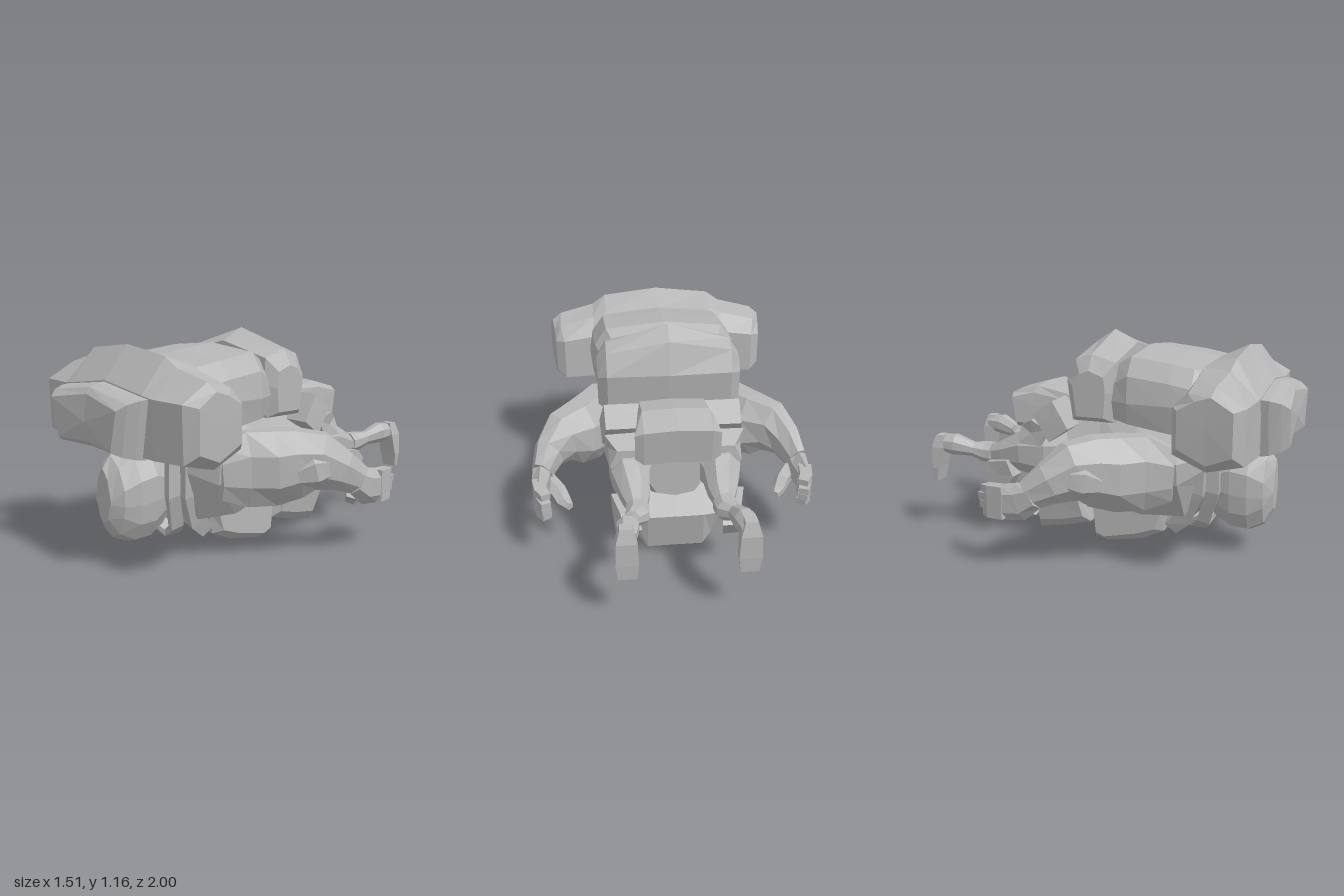
import * as THREE from 'three';

const grey = new THREE.MeshStandardMaterial({ color: 0xb6b6b6, flatShading: true });
grey.name = 'plain grey';

// Closed solid through rings of equal point count; winding is fixed by signed volume.
function loft(name, rings) {
  const n = rings[0].length, tris = [];
  const centre = r => [0, 1, 2].map(k => r.reduce((s, p) => s + p[k], 0) / n);
  const first = rings[0], last = rings[rings.length - 1];
  for (let j = 0; j < n; j++) {
    const k = (j + 1) % n;
    for (let i = 0; i < rings.length - 1; i++) {
      const a = rings[i], b = rings[i + 1];
      tris.push([a[j], a[k], b[k]], [a[j], b[k], b[j]]);
    }
    tris.push([centre(first), first[k], first[j]], [centre(last), last[j], last[k]]);
  }
  let volume = 0;
  for (const [a, b, c] of tris) {
    volume += a[0] * (b[1] * c[2] - b[2] * c[1]) - a[1] * (b[0] * c[2] - b[2] * c[0])
      + a[2] * (b[0] * c[1] - b[1] * c[0]);
  }
  if (volume < 0) tris.forEach(t => t.reverse());
  const g = new THREE.BufferGeometry();
  g.setAttribute('position', new THREE.Float32BufferAttribute(tris.flat(2), 3));
  g.computeVertexNormals();
  const mesh = new THREE.Mesh(g, grey);
  mesh.name = name;
  return mesh;
}

// Solid running across x, from half stations [x, [[z, y, x shift], ...]] mirrored about x = 0.
function crossBar(name, stations) {
  const ring = (x, pts, s) => pts.map(([z, y, dx = 0]) => [s * (x + dx), y, z]);
  const left = stations.map(([x, p]) => ring(x, p, 1));
  const right = stations.filter(s => s[0] > 0).map(([x, p]) => ring(x, p, -1)).reverse();
  return loft(name, [...right, ...left]);
}

// Solid running along z, from [z, [[x, y, z shift], ...]] with the half outline going top to bottom.
function lengthwise(name, stations) {
  return loft(name, stations.map(([z, half]) => [
    ...half.map(([x, y, dz = 0]) => [x, y, z + dz]),
    ...half.filter(p => p[0] > 0).reverse().map(([x, y, dz = 0]) => [-x, y, z + dz]),
  ]));
}

// Tapered limb through [x, y, z, half width, half height].
function limb(name, path, sides = 8, ref = new THREE.Vector3(0, 1, 0)) {
  const pts = path.map(p => new THREE.Vector3(p[0], p[1], p[2]));
  return loft(name, path.map((p, i) => {
    const dir = pts[Math.min(i + 1, pts.length - 1)].clone().sub(pts[Math.max(i - 1, 0)]).normalize();
    const across = ref.clone().cross(dir).normalize();
    const up = dir.clone().cross(across);
    return Array.from({ length: sides }, (_, j) => {
      const a = (j + 0.5) / sides * Math.PI * 2;
      const stretch = sides === 4 ? Math.SQRT2 : 1.04;
      return pts[i].clone().addScaledVector(across, Math.cos(a) * p[3] * stretch)
        .addScaledVector(up, Math.sin(a) * p[4] * stretch).toArray();
    });
  }));
}

// Arm, hand, leg and side gear of one side, s = 1 for left, -1 for right.
function addSide(group, s) {
  const side = s > 0 ? 'left' : 'right';
  const add = (part, path, sides, ref) => group.add(limb(side + part, path.map(([x, ...r]) => [x * s, ...r]), sides, ref));

  add('Arm', [
    [0.34, 0.48, 0.44, 0.05, 0.14], [0.37, 0.49, 0.3, 0.1, 0.2], [0.43, 0.49, 0.16, 0.15, 0.2],
    [0.51, 0.51, 0.05, 0.145, 0.18], [0.595, 0.52, -0.02, 0.11, 0.15],
    [0.66, 0.47, -0.1, 0.08, 0.11], [0.7, 0.41, -0.2, 0.053, 0.08],
  ]);
  add('Elbow', [[0.57, 0.46, 0.14, 0.04, 0.05], [0.63, 0.49, 0.06, 0.06, 0.09], [0.66, 0.5, 0, 0.04, 0.07]], 6);
  add('Palm', [[0.7, 0.41, -0.17, 0.055, 0.07], [0.705, 0.37, -0.25, 0.05, 0.095], [0.71, 0.36, -0.34, 0.038, 0.09]], 6);
  for (let i = 0; i < 4; i++) {
    const y = 0.3 + i * 0.042, end = [-0.45, -0.47, -0.48, -0.46][i];
    add('Finger' + (i + 1), [
      [0.715, y, -0.32, 0.034, 0.021], [0.7, y - 0.005, -0.41, 0.032, 0.021], [0.672, y - 0.01, end, 0.026, 0.018],
    ], 4);
  }
  add('Thumb', [
    [0.68, 0.35, -0.19, 0.05, 0.05], [0.62, 0.31, -0.24, 0.045, 0.04],
    [0.59, 0.27, -0.28, 0.04, 0.032], [0.56, 0.265, -0.33, 0.022, 0.022],
  ], 5);

  add('Leg', [
    [0.17, 0.5, -0.15, 0.13, 0.16], [0.22, 0.5, -0.32, 0.13, 0.15], [0.235, 0.5, -0.45, 0.1, 0.12],
    [0.22, 0.47, -0.58, 0.075, 0.08], [0.215, 0.46, -0.66, 0.05, 0.05], [0.215, 0.46, -0.67, 0.06, 0.06],
    [0.22, 0.465, -0.73, 0.06, 0.055], [0.25, 0.48, -0.78, 0.04, 0.04],
    [0.275, 0.505, -0.88, 0.055, 0.06], [0.285, 0.51, -0.97, 0.045, 0.045],
  ]);
  // Foot hanging with the toes down
  const foot = (y, w, z0, z1) => [[0.288 - w, y, z0], [0.288 + w, y, z0], [0.288 + w, y, z1], [0.288 - w, y, z1]]
    .map(([x, ...r]) => [x * s, ...r]);
  group.add(loft(side + 'Foot', [foot(0.56, 0.03, -0.93, -0.98), foot(0.49, 0.05, -0.93, -1),
    foot(0.37, 0.055, -0.96, -1), foot(0.29, 0.045, -0.975, -0.995)]));

  // Plates and pouches from a side outline [z, y, x shift] between two x values
  const plate = (part, x0, x1, outline, taper = 1) => {
    const cz = outline.reduce((t, p) => t + p[0], 0) / outline.length;
    const cy = outline.reduce((t, p) => t + p[1], 0) / outline.length;
    group.add(loft(side + part, [[x0, 1], [x1, taper]].map(([x, k]) => outline.map(
      ([z, y, dx = 0]) => [(x + dx) * s, cy + (y - cy) * k, cz + (z - cz) * k]))));
  };
  plate('CalfPlate', 0.25, 0.34, [[-0.48, 0.37], [-0.58, 0.21, -0.02], [-0.73, 0.37, -0.05], [-0.67, 0.43, -0.04], [-0.52, 0.46]], 0.97);
  plate('HipPlate', 0.18, 0.36, [[-0.26, 0.66], [-0.3, 0.56], [-0.45, 0.56, -0.02], [-0.45, 0.66, -0.06], [-0.35, 0.71]], 0.93);
  plate('WaistPouch', 0.16, 0.335, [[0.12, 0.4], [0.1, 0.25], [-0.07, 0.22], [-0.08, 0.4]], 0.7);
  // Straps running from the collar down to the chest pouch
  add('ChestStrap', [[0.21, 0.55, 0.52, 0.03, 0.05], [0.2, 0.36, 0.51, 0.025, 0.05],
    [0.155, 0.2, 0.44, 0.03, 0.05], [0.13, 0.14, 0.37, 0.04, 0.04]], 4, new THREE.Vector3(0, 0, 1));
}

export function createModel() {
  const group = new THREE.Group();
  group.name = 'flyingFigure';

  // Wide front housing with bevelled, slanted ends
  group.add(crossBar('frontHousing', [
    [0, [[0.86, 0.63], [0.865, 0.95], [0.73, 1.115], [0.57, 1.04], [0.51, 0.9], [0.51, 0.66], [0.68, 0.62]]],
    [0.31, [[0.86, 0.62], [0.865, 0.91], [0.73, 1.08], [0.57, 1.03], [0.5, 0.9], [0.5, 0.65], [0.66, 0.58]]],
    [0.385, [[0.86, 0.62], [0.86, 0.9], [0.72, 1.03], [0.57, 1.0], [0.5, 0.9], [0.5, 0.65], [0.66, 0.58]]],
    [0.58, [[0.845, 0.63, 0.01], [0.85, 0.9, 0.01], [0.7, 0.985], [0.57, 0.95], [0.49, 0.88, -0.02], [0.49, 0.65, -0.02], [0.66, 0.58, -0.01]]],
    [0.65, [[0.8, 0.68], [0.8, 0.885], [0.69, 0.945, -0.02], [0.61, 0.92, -0.03], [0.525, 0.87, -0.04], [0.525, 0.69, -0.04], [0.67, 0.625, -0.025]]],
  ]));

  // Raised plate on the front, wider at the top, bevelled, its face folded in slightly at the middle
  const frontRing = (wt, wb, top, low, fold) => [[0, top, -fold], [wt, top - 0.045], [wb, low], [0, low + 0.01, -fold]];
  group.add(lengthwise('frontPlate', [
    [0.84, frontRing(0.36, 0.3, 0.945, 0.605, 0)], [0.9, frontRing(0.355, 0.3, 0.94, 0.615, 0)],
    [0.955, frontRing(0.33, 0.275, 0.925, 0.63, 0.01)], [0.995, frontRing(0.295, 0.24, 0.895, 0.655, 0.025)],
  ]));

  // Pack body behind the front housing
  const packRing = (w, top, low) => [[0, top], [w * 0.8, top - 0.03], [w * 0.96, top - 0.12],
    [w, 0.84], [w * 0.94, low + 0.03], [w * 0.6, low], [0, low]];
  group.add(lengthwise('packBody', [
    [0.65, packRing(0.34, 1.03, 0.68)], [0.53, packRing(0.41, 1.05, 0.66)], [0.42, packRing(0.41, 1.07, 0.67)],
    [0.2, packRing(0.4, 1.095, 0.7)], [0.12, packRing(0.36, 1.05, 0.71)], [0.05, packRing(0.33, 1.0, 0.72)],
  ]));

  // Ridged housing at the back of the pack
  group.add(crossBar('rearHousing', [
    [0, [[0.12, 0.72], [0.135, 0.92], [0.12, 1.1], [-0.01, 1.165], [-0.11, 1.1], [-0.16, 0.93], [-0.13, 0.72]]],
    [0.33, [[0.11, 0.72], [0.13, 0.88], [0.12, 1.03], [-0.01, 1.07], [-0.1, 1.04], [-0.15, 0.93], [-0.12, 0.72]]],
    [0.38, [[0.07, 0.75], [0.08, 0.88], [0.07, 0.96], [-0.01, 0.99], [-0.06, 0.97], [-0.1, 0.91], [-0.08, 0.75]]],
  ]));

  // Hip belt and seat pack
  const belt = [[-0.13, 0.675], [-0.245, 0.595, -0.01], [-0.345, 0.73, -0.03], [-0.23, 0.815, -0.025]];
  group.add(crossBar('hipBelt', [[0, belt], [0.38, belt]]));
  const seat = [[-0.2, 0.78], [-0.22, 0.83], [-0.4, 0.865], [-0.555, 0.82], [-0.53, 0.63], [-0.34, 0.63]];
  group.add(crossBar('seatPack', [[0, seat], [0.17, seat.map(([z, y]) => [z, y - 0.01])],
    [0.215, [[-0.24, 0.75, -0.035], [-0.26, 0.79, -0.035], [-0.42, 0.82, -0.02], [-0.54, 0.79], [-0.52, 0.65], [-0.36, 0.65, -0.02]]]]));

  // Torso
  const torsoRing = (w, top, low) => [[0, top], [w * 0.75, top], [w, top * 0.75 + low * 0.25],
    [w * 0.95, (top + low) / 2], [w * 0.55, low + 0.02], [0, low]];
  group.add(lengthwise('torso', [
    [0.56, torsoRing(0.24, 0.61, 0.36)], [0.46, torsoRing(0.38, 0.66, 0.2)], [0.22, torsoRing(0.38, 0.7, 0.18)],
    [0, torsoRing(0.3, 0.72, 0.2)], [-0.2, torsoRing(0.28, 0.7, 0.25)], [-0.42, torsoRing(0.18, 0.64, 0.36)],
  ]));

  // Pouches under the chest and belly
  const chest = [[0.35, 0.22], [0.33, 0.1], [0.2, 0.04], [0, 0.005], [-0.07, 0.025], [-0.08, 0.24], [0.25, 0.27]];
  group.add(crossBar('chestPouch', [[0, chest], [0.15, chest],
    [0.2, [[0.32, 0.22], [0.29, 0.12], [0.18, 0.08], [0, 0.04], [-0.05, 0.06], [-0.07, 0.24], [0.22, 0.26]]]]));
  const belly = [[-0.16, 0.33], [-0.1, 0.1], [-0.25, 0.06], [-0.41, 0.03], [-0.46, 0.25], [-0.3, 0.36]];
  group.add(crossBar('bellyPouch', [[0, belly], [0.15, belly],
    [0.2, [[-0.17, 0.33, 0.04], [-0.13, 0.14], [-0.25, 0.11], [-0.39, 0.09], [-0.43, 0.24, 0.03], [-0.3, 0.36, 0.04]]]]));

  // Faceted helmet with neck and collar
  const headRing = (w, top, low) => [[0, top], [w * 0.6, top - 0.05], [w, top - 0.16], [w, (top + low) / 2 - 0.03],
    [w * 0.9, low + 0.12], [w * 0.55, low + 0.03], [0, low]];
  group.add(lengthwise('head', [
    [0.54, headRing(0.11, 0.56, 0.22)], [0.6, headRing(0.145, 0.61, 0.17)], [0.68, headRing(0.16, 0.635, 0.125)],
    [0.77, headRing(0.155, 0.62, 0.12)], [0.85, headRing(0.125, 0.58, 0.16)], [0.895, headRing(0.07, 0.52, 0.24)],
  ]));
  group.add(limb('neck', [[0, 0.38, 0.38, 0.16, 0.19], [0, 0.38, 0.55, 0.13, 0.18]]));
  group.add(limb('collar', [
    [-0.175, 0.55, 0.6, 0.035, 0.018], [-0.17, 0.36, 0.6, 0.035, 0.018], [-0.115, 0.18, 0.54, 0.035, 0.018],
    [0, 0.11, 0.48, 0.05, 0.018], [0.115, 0.18, 0.54, 0.035, 0.018], [0.17, 0.36, 0.6, 0.035, 0.018],
    [0.175, 0.55, 0.6, 0.035, 0.018],
  ].map(([x, y, z, a, b]) => [x, y, z, b, a]), 4, new THREE.Vector3(0, 0, 1)));

  addSide(group, 1);
  addSide(group, -1);
  return group;
}
